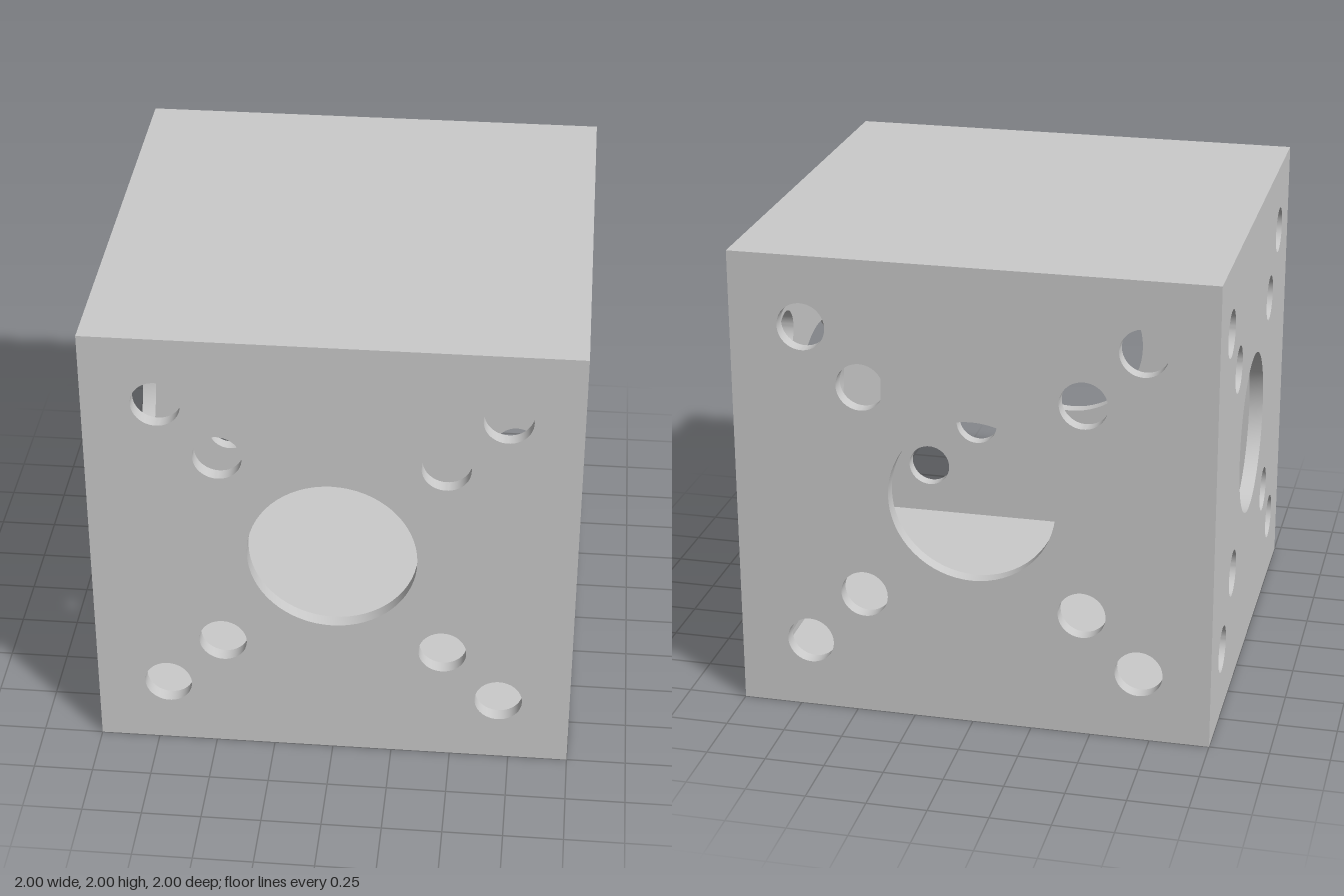
import * as THREE from 'three';
import { toCreasedNormals } from 'three/addons/utils/BufferGeometryUtils.js';

const WALL = 0.06; // wall thickness of the hollow cube

// Square panel facing +z, its edges mitred so that six of them close into a cube
function panelGeometry(holes) {
  const shape = new THREE.Shape();
  shape.moveTo(-1, -1).lineTo(1, -1).lineTo(1, 1).lineTo(-1, 1).closePath();
  for (const [x, y, r] of holes) {
    shape.holes.push(new THREE.Path().absarc(x, y, r, 0, Math.PI * 2, true));
  }
  const geo = new THREE.ExtrudeGeometry(shape, { depth: WALL, bevelEnabled: false, curveSegments: 32 });
  geo.translate(0, 0, 1 - WALL);
  const p = geo.attributes.position;
  for (let i = 0; i < p.count; i++) {
    if (p.getZ(i) > 1 - WALL / 2) continue;
    // pull the inner rim in to form the mitre
    if (Math.abs(p.getX(i)) > 0.999) p.setX(i, p.getX(i) * (1 - WALL));
    if (Math.abs(p.getY(i)) > 0.999) p.setY(i, p.getY(i) * (1 - WALL));
  }
  return toCreasedNormals(geo, 0.5);
}

export function createModel() {
  const group = new THREE.Group();
  group.name = 'perforatedCube';
  const material = new THREE.MeshStandardMaterial({ color: 0xcccccc });

  // One large central hole and two small ones along each half diagonal
  const holes = [[0, 0, 0.35]];
  for (const sx of [-1, 1]) for (const sy of [-1, 1]) for (const d of [0.46, 0.7]) {
    holes.push([sx * d, sy * d, 0.1]);
  }
  const drilled = panelGeometry(holes);
  const solid = panelGeometry([]);

  function addPanel(name, geometry, rx, ry) {
    const mesh = new THREE.Mesh(geometry, material);
    mesh.name = name;
    mesh.rotation.set(rx, ry, 0);
    mesh.position.y = 1;
    group.add(mesh);
  }

  // Four drilled walls
  ['frontWall', 'leftWall', 'backWall', 'rightWall'].forEach((name, i) => {
    addPanel(name, drilled, 0, i * Math.PI / 2);
  });

  // Plain lid and floor
  addPanel('top', solid, -Math.PI / 2, 0);
  addPanel('bottom', solid, Math.PI / 2, 0);

  return group;
}
